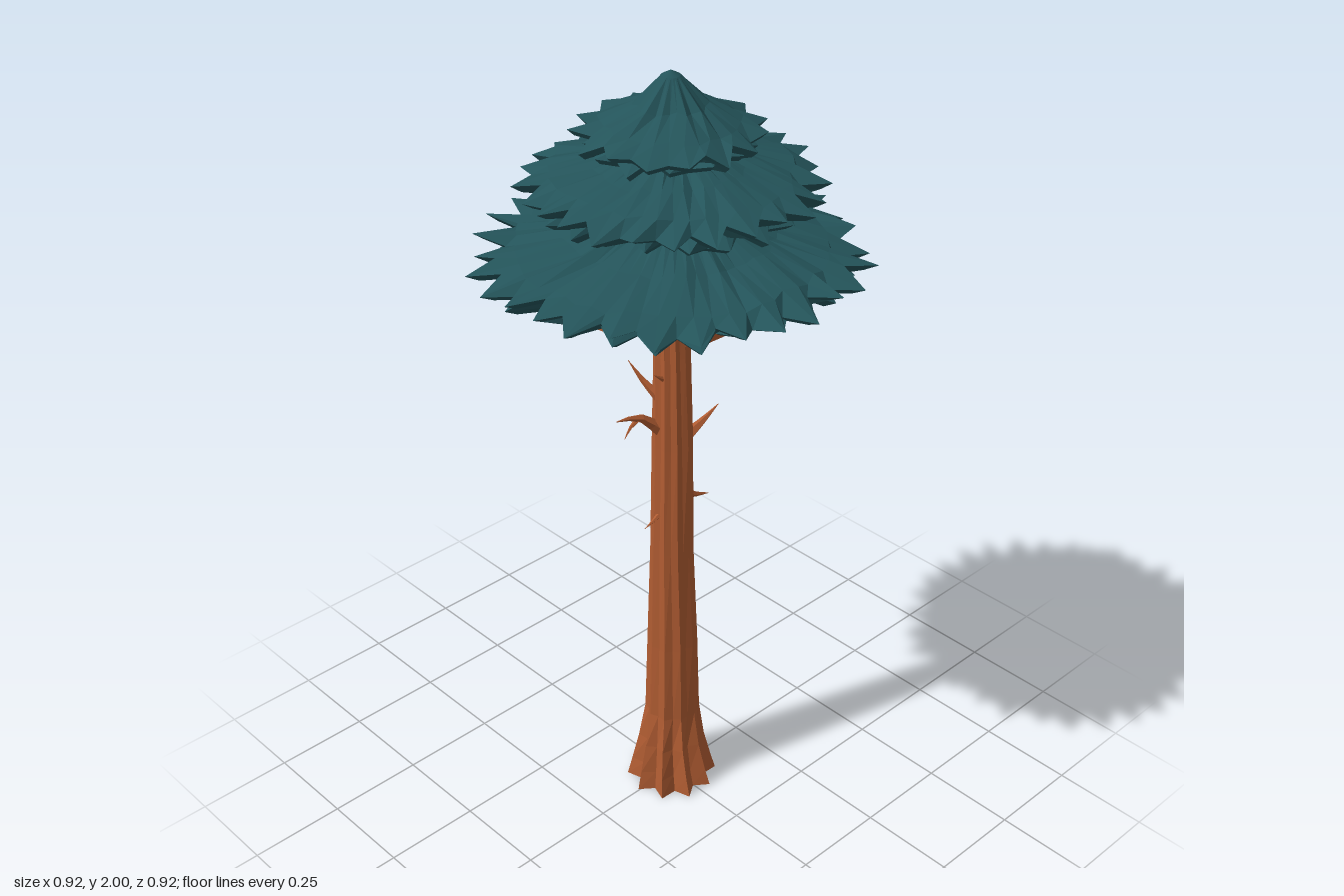
import * as THREE from 'three';

const bark = new THREE.MeshStandardMaterial({ color: 0xb05c32 });
bark.name = 'bark';
const needles = new THREE.MeshStandardMaterial({ color: 0x24545a });
needles.name = 'needles';

// Small seeded random generator, range a..b
let seed = 7;
function rnd(a, b) {
  seed = (seed * 16807) % 2147483647;
  return a + (b - a) * (seed / 2147483647);
}

// Flat-faced skin over closed rings of equal length, listed bottom/inside to top
function loft(rings) {
  const pos = [];
  const n = rings[0].length;
  const tri = (...pts) => pts.forEach((p) => pos.push(p.x, p.y, p.z));
  for (let k = 0; k < rings.length - 1; k++) {
    for (let j = 0; j < n; j++) {
      const i = (j + 1) % n;
      const [lo, hi] = [rings[k], rings[k + 1]];
      tri(lo[j], hi[j], lo[i]);
      tri(hi[j], hi[i], lo[i]);
    }
  }
  const g = new THREE.BufferGeometry();
  g.setAttribute('position', new THREE.Float32BufferAttribute(pos, 3));
  g.computeVertexNormals();
  return g;
}

// Ring of n points; radius and height come from functions of the column
function ring(n, rAt, yAt, cx = 0, cz = 0, twist = 0) {
  return Array.from({ length: n }, (_, j) => {
    const a = (j / n) * Math.PI * 2 + twist;
    const r = rAt(j);
    return new THREE.Vector3(cx + r * Math.cos(a), yAt(j), cz + r * Math.sin(a));
  });
}

function add(parent, name, geometry, material) {
  const mesh = new THREE.Mesh(geometry, material);
  mesh.name = name;
  parent.add(mesh);
  return mesh;
}

// Trunk: root flare at the foot fading into a slim, slightly uneven column
function trunkGeometry() {
  const n = 20;
  // radius, height, root spread, centre x
  const profile = [
    [0, 0, 0, 0], [0.103, 0, 0.016, 0], [0.092, 0.05, 0.014, 0],
    [0.078, 0.13, 0.009, 0], [0.069, 0.23, 0.003, 0.004], [0.062, 0.45, 0.003, 0.006],
    [0.053, 0.75, 0.003, 0.002], [0.046, 1.05, 0.003, 0.004], [0.041, 1.3, 0.003, 0.003],
    [0.037, 1.45, 0.002, 0], [0.032, 1.66, 0.001, 0], [0.022, 1.86, 0, 0], [0, 1.86, 0, 0],
  ];
  return loft(profile.map(([r, y, spread, cx], k) => {
    const wobble = k > 3 && r > 0 ? 0.002 : 0;
    return ring(n, (j) => r + (j % 2 ? -spread : spread) + rnd(-wobble, wobble),
      () => y, cx, 0, 0.03 * k);
  }));
}

// Tapered five-sided limb along a few points
function limbGeometry(points, radius) {
  const curve = new THREE.CatmullRomCurve3(points.map((p) => new THREE.Vector3(...p)));
  const steps = 4;
  const sides = 5;
  const g = new THREE.TubeGeometry(curve, steps, radius, sides, false);
  const p = g.attributes.position;
  const v = new THREE.Vector3();
  for (let i = 0; i < p.count; i++) {
    const t = Math.floor(i / (sides + 1)) / steps;
    v.fromBufferAttribute(p, i).lerp(curve.getPointAt(t), t * 0.96);
    p.setXYZ(i, v.x, v.y, v.z);
  }
  const flat = g.toNonIndexed();
  flat.computeVertexNormals();
  return flat;
}

// Jagged umbrella of foliage; profiles hold [radius, height] pairs
function foliageGeometry({ teeth, rim, y, under, over, notch = 0.83, droop = 0.015 }) {
  const n = teeth * 2;
  const reach = Array.from({ length: n }, (_, j) =>
    rim * (j % 2 ? rnd(notch - 0.04, notch + 0.04) : rnd(0.94, 1.01)));
  const tip = Array.from({ length: n }, (_, j) => y + rnd(-droop, droop) + (j % 2 ? 0.006 : 0));
  const twist = rnd(0, 1);
  const plain = ([r, h]) => {
    const rough = r > 0.06 ? 0.006 : 0;
    return ring(n, () => r + rnd(-rough, rough) * 2, () => h + rnd(-rough, rough), 0, 0, twist);
  };
  const edge = (scale, drop) =>
    ring(n, (j) => reach[j] * scale, (j) => tip[j] - drop, 0, 0, twist);
  return loft([...under.map(plain), edge(0.93, 0.014), edge(1, 0), ...over.map(plain)]);
}

export function createModel() {
  seed = 7;
  const tree = new THREE.Group();
  tree.name = 'tree';

  add(tree, 'trunk', trunkGeometry(), bark);

  // Boughs under the crown, then broken twigs down the trunk
  const limbs = [
    ['leftBough', 0.03, [[0.01, 1.33, 0.01], [0.1, 1.43, 0.03], [0.21, 1.51, 0.06], [0.27, 1.56, 0.06]]],
    ['leftBoughFork', 0.012, [[0.08, 1.41, 0.025], [0.15, 1.445, 0.05], [0.21, 1.46, 0.08]]],
    ['rightBough', 0.028, [[0, 1.38, 0], [-0.09, 1.44, -0.07], [-0.2, 1.51, -0.15], [-0.25, 1.55, -0.17]]],
    ['rightBoughFork', 0.01, [[-0.09, 1.44, -0.06], [-0.14, 1.46, -0.04], [-0.18, 1.47, -0.02]]],
    ['upperTwig', 0.014, [[-0.02, 1.18, -0.02], [-0.04, 1.22, -0.055], [-0.06, 1.27, -0.085]]],
    ['rightTwig', 0.02, [[-0.02, 1.09, -0.01], [-0.08, 1.145, -0.025], [-0.15, 1.16, -0.03]]],
    ['rightTwigFork', 0.008, [[-0.08, 1.145, -0.025], [-0.105, 1.125, -0.03], [-0.125, 1.1, -0.03]]],
    ['leftTwig', 0.02, [[0.02, 1.05, 0.01], [0.08, 1.09, 0.025], [0.125, 1.125, 0.035]]],
    ['lowerLeftTwig', 0.014, [[0.03, 0.9, 0.01], [0.065, 0.88, 0.015], [0.11, 0.865, 0.02]]],
    ['lowerRightTwig', 0.009, [[-0.03, 0.865, 0], [-0.06, 0.85, 0], [-0.09, 0.84, 0]]],
    ['smallRightTwig', 0.009, [[-0.025, 1.24, 0.01], [-0.045, 1.255, 0.01], [-0.065, 1.27, 0.01]]],
    ['boughTip', 0.014, [[0.24, 1.54, 0.03], [0.31, 1.585, -0.04], [0.36, 1.6, -0.06]]],
  ];
  limbs.forEach(([name, radius, points]) => add(tree, name, limbGeometry(points, radius), bark));

  // Woody lining beneath the lowest tier
  const wavy = (r) => (j) => r + 0.035 * Math.sin(j * 1.9) + 0.02 * Math.cos(j * 3.1);
  const lining = [
    ring(24, () => 0.13, () => 1.55),
    ring(24, wavy(0.31), (j) => 1.517 + 0.006 * Math.sin(j * 2.3)),
    ring(24, wavy(0.31), () => 1.535),
    ring(24, () => 0.13, () => 1.57),
  ];
  add(tree, 'crownLining', loft(lining), bark);

  // Three tiers, each with a broad shell over a shorter hanging fringe
  const tiers = [
    ['lowerTier', { teeth: 30, rim: 0.47, y: 1.567, under: [[0, 1.6], [0.15, 1.575], [0.34, 1.545]],
      over: [[0.36, 1.592], [0.24, 1.622], [0.13, 1.667], [0.04, 1.69], [0, 1.69]] }],
    ['lowerFringe', { teeth: 26, rim: 0.42, y: 1.533, under: [[0.3, 1.55], [0.33, 1.545]],
      over: [[0.36, 1.57], [0.3, 1.57]] }],
    ['middleTier', { teeth: 25, rim: 0.362, y: 1.745, under: [[0, 1.75], [0.15, 1.73], [0.25, 1.715]],
      over: [[0.27, 1.772], [0.18, 1.796], [0.1, 1.825], [0, 1.85]] }],
    ['middleFringe', { teeth: 20, rim: 0.315, y: 1.705, under: [[0.2, 1.725], [0.23, 1.715]],
      over: [[0.26, 1.745], [0.2, 1.745]] }],
    ['topTier', { teeth: 15, rim: 0.228, y: 1.858, under: [[0, 1.87], [0.1, 1.85], [0.15, 1.835]],
      over: [[0.155, 1.888], [0.08, 1.925], [0.022, 1.988], [0, 2]] }],
    ['topFringe', { teeth: 13, rim: 0.2, y: 1.838, under: [[0.12, 1.85], [0.14, 1.84]],
      over: [[0.15, 1.865], [0.12, 1.865]] }],
  ];
  tiers.forEach(([name, shape]) => add(tree, name, foliageGeometry(shape), needles));

  return tree;
}
